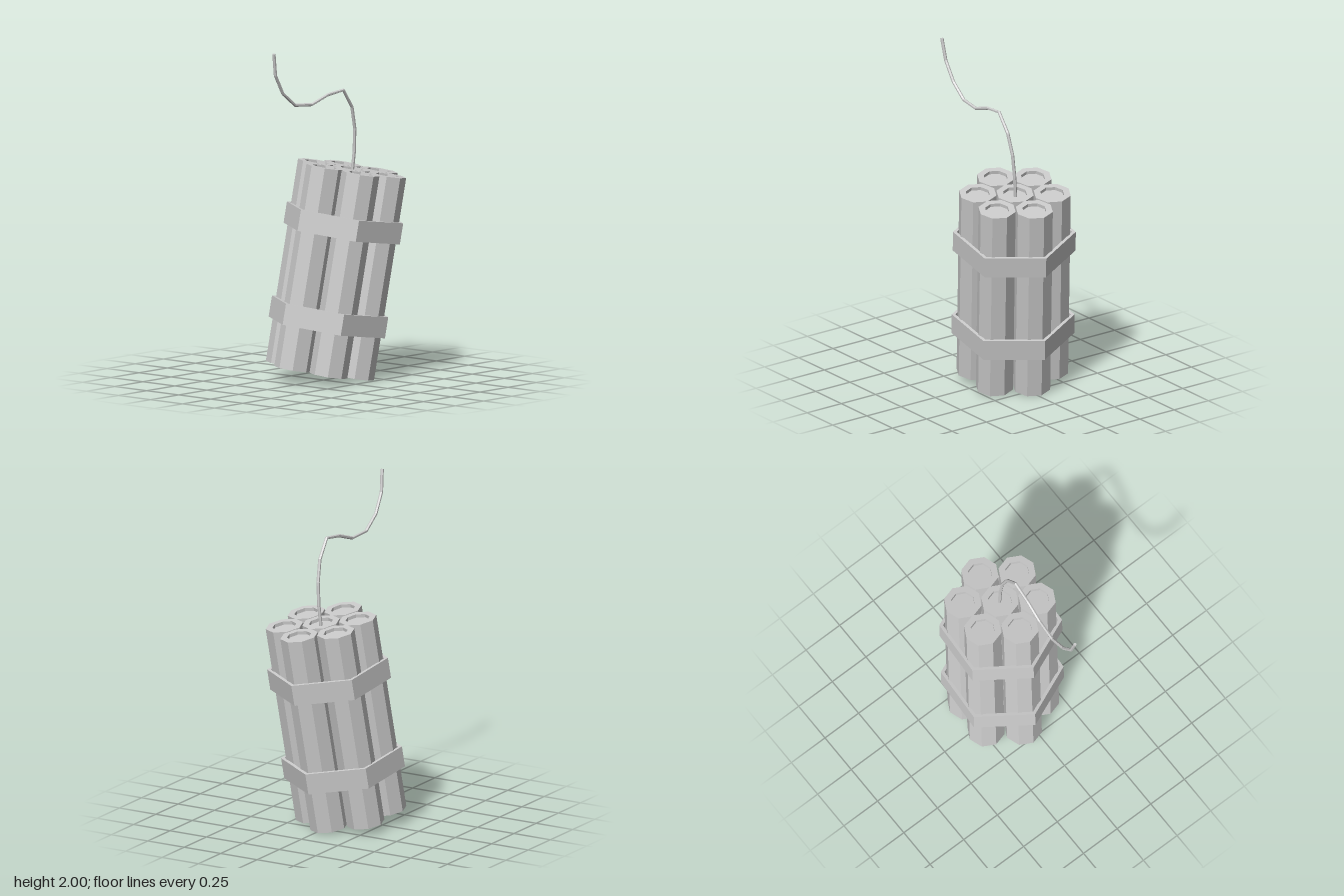
import * as THREE from 'three';

const material = new THREE.MeshStandardMaterial({ color: 0xcccccc, flatShading: true });
const TWIST = THREE.MathUtils.degToRad(5.5); // turn of the whole bundle about its axis
const V = (x, y, z) => new THREE.Vector3(x, y, z);

function addMesh(parent, name, geometry) {
  const mesh = new THREE.Mesh(geometry, material);
  mesh.name = name;
  parent.add(mesh);
  return mesh;
}

// Faceted solid of revolution from [radius, height] pairs, starting at angle phi
function lathe(profile, sides, phi) {
  return new THREE.LatheGeometry(profile.map(([r, y]) => new THREE.Vector2(r, y)), sides, phi);
}

export function createModel() {
  const model = new THREE.Group();
  model.name = 'stickBundle';

  // Leaning bundle: everything inside is built along local +y
  const base = V(0.022, 0.05, -0.048);
  const axis = V(0.188, 1.24, 0.057).sub(base);
  const length = axis.length();
  const bundle = new THREE.Group();
  bundle.name = 'bundle';
  bundle.position.copy(base);
  bundle.quaternion.setFromUnitVectors(V(0, 1, 0), axis.normalize());
  model.add(bundle);

  // Seven eight-sided sticks with a shallow recess in the top
  const floor = length - 0.02;
  const stickGeometry = lathe(
    [[0, 0], [0.112, 0], [0.112, length], [0.072, length], [0.072, floor], [0, floor]], 8, -TWIST);
  addMesh(bundle, 'centreStick', stickGeometry);
  for (let i = 0; i < 6; i++) {
    const a = TWIST + i * Math.PI / 3;
    addMesh(bundle, 'outerStick', stickGeometry)
      .position.set(0.218 * Math.cos(a), 0, 0.218 * Math.sin(a));
  }

  // Two hexagonal straps around the sticks
  const h = 0.063;
  const strapGeometry = lathe(
    [[0.36, -h], [0.36, h], [0.338, h], [0.338, -h], [0.36, -h]], 6, Math.PI / 2 - TWIST);
  addMesh(bundle, 'lowerStrap', strapGeometry).position.y = 0.32;
  addMesh(bundle, 'upperStrap', strapGeometry).position.y = 0.88;

  // Fuse: thin bent cord rising from the centre stick, one segment per point
  const path = [
    V(0.19, 1.21, 0.055), V(0.197, 1.34, 0.066), V(0.19, 1.48, 0.076), V(0.155, 1.61, 0.085),
    V(0.075, 1.72, 0.088), V(-0.05, 1.705, 0.078), V(-0.18, 1.66, 0.067), V(-0.315, 1.67, 0.055),
    V(-0.42, 1.75, 0.052), V(-0.49, 1.865, 0.056), V(-0.515, 1.998, 0.066),
  ];
  const curve = new THREE.CatmullRomCurve3(path);
  curve.getUtoTmapping = (u) => u; // rings sit exactly on the path points
  addMesh(model, 'fuse', new THREE.TubeGeometry(curve, path.length - 1, 0.01, 6));
  const tip = addMesh(model, 'fuseTip', new THREE.CircleGeometry(0.01, 6));
  tip.position.copy(path[path.length - 1]);
  tip.quaternion.setFromUnitVectors(V(0, 0, 1), curve.getTangent(1));

  return model;
}
